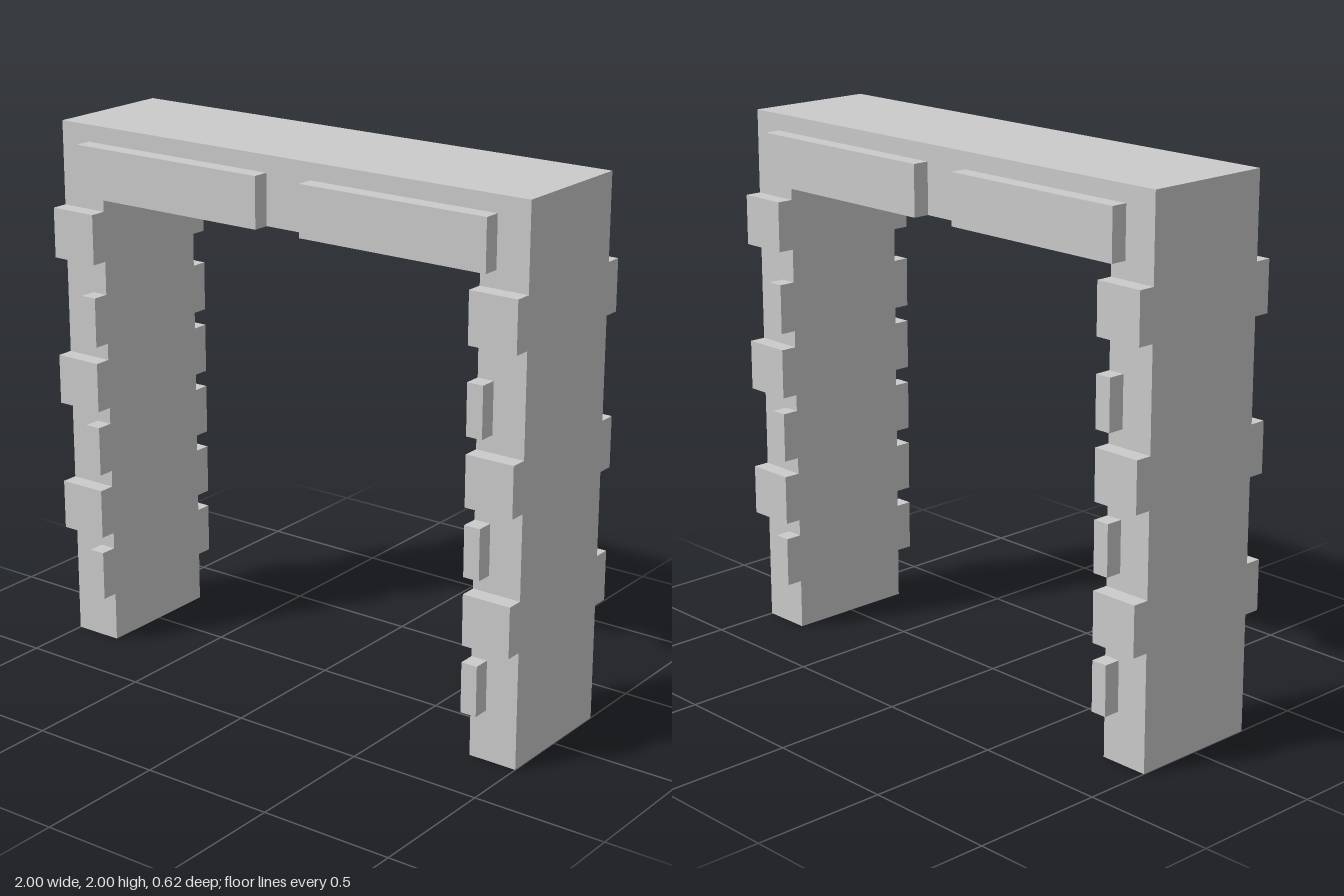
import * as THREE from 'three';

const U = 1 / 16; // building unit
const material = new THREE.MeshStandardMaterial({ color: 0xcccccc, flatShading: true });

// Box spanning x0..x1, y0..y1, z0..z1 in units
function block(name, x0, x1, y0, y1, z0, z1) {
  const geometry = new THREE.BoxGeometry((x1 - x0) * U, (y1 - y0) * U, (z1 - z0) * U);
  const mesh = new THREE.Mesh(geometry, material);
  mesh.position.set((x0 + x1) / 2 * U, (y0 + y1) / 2 * U, (z0 + z1) / 2 * U);
  mesh.name = name;
  return mesh;
}

// Raised stones on one face of the doorway
function faceStones(name) {
  const group = new THREE.Group();
  group.name = name;
  group.add(block('longLintelStone', -14, -1, 28, 31, 4, 5));
  group.add(block('shortLintelStone', 2, 14, 28, 31, 4, 5));
  for (const side of [-1, 1]) {
    const add = (label, inner, outer, y) => {
      const xs = [side * inner, side * outer].sort((a, b) => a - b);
      group.add(block(label, xs[0], xs[1], y, y + 3, 4, 5));
    };
    for (const y of [7, 15, 24]) add('widePostStone', 13, 16, y);
    for (const y of [3, 11, 19]) add('narrowPostStone', 13, 14, y);
  }
  return group;
}

export function createModel() {
  const model = new THREE.Group();
  model.name = 'doorway';

  // Two posts and the lintel in one outline
  const outline = [[-16, 0], [-13, 0], [-13, 28], [13, 28], [13, 0], [16, 0], [16, 32], [-16, 32]];
  const shape = new THREE.Shape(outline.map(([x, y]) => new THREE.Vector2(x * U, y * U)));
  const geometry = new THREE.ExtrudeGeometry(shape, { depth: 8 * U, bevelEnabled: false });
  geometry.translate(0, 0, -4 * U);
  const frame = new THREE.Mesh(geometry, material);
  frame.name = 'frame';
  model.add(frame);

  // The back carries the same stones turned half round
  const back = faceStones('backStones');
  back.rotation.y = Math.PI;
  model.add(faceStones('frontStones'), back);
  return model;
}
